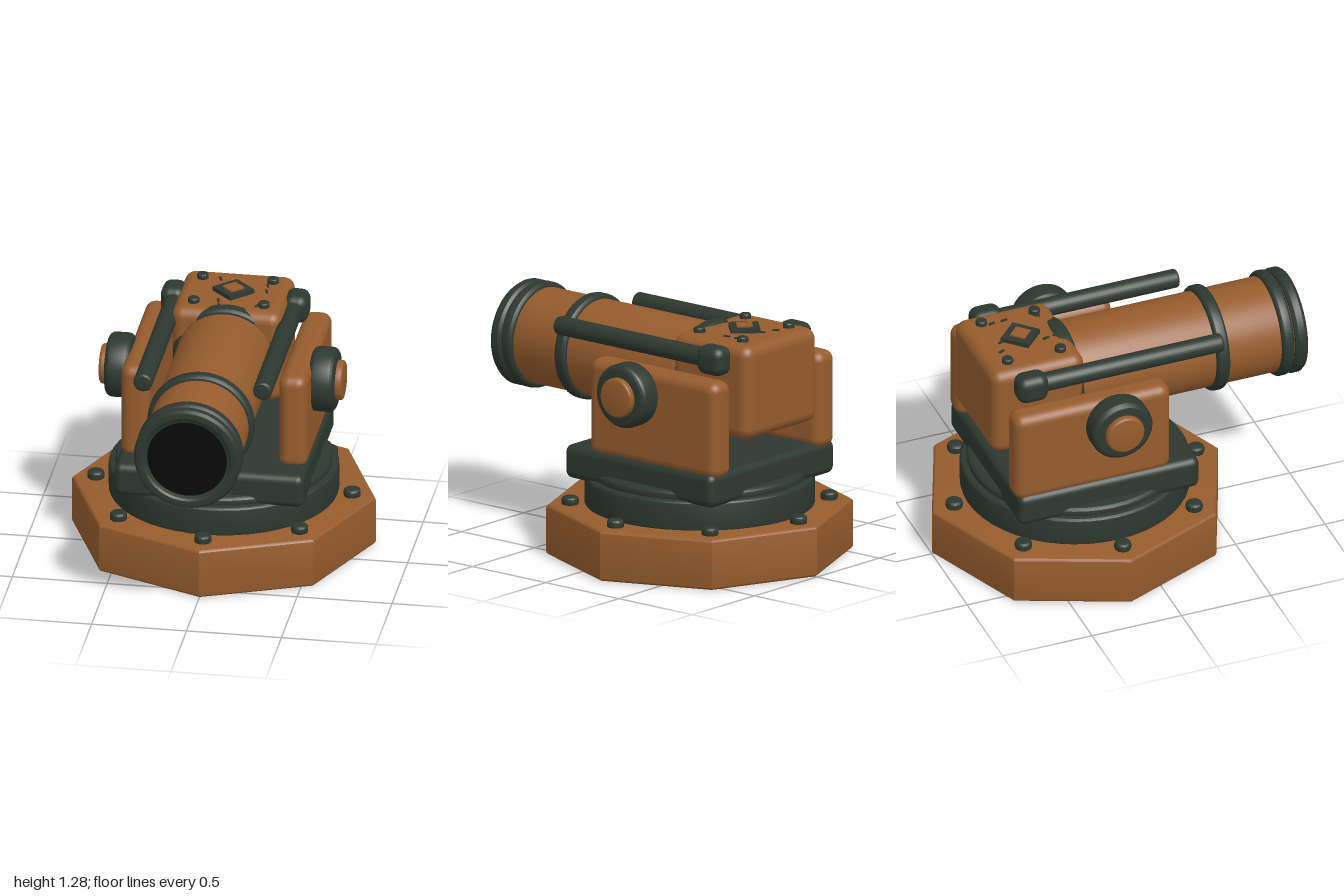
import * as THREE from 'three';
import { toCreasedNormals } from 'three/addons/utils/BufferGeometryUtils.js';
import { RoundedBoxGeometry } from 'three/addons/geometries/RoundedBoxGeometry.js';

function material(name, color) {
  const m = new THREE.MeshStandardMaterial({ color });
  m.name = name;
  return m;
}

// Revolved profile with crisp caps; points run [radius, height] upwards.
function lathe(points, sides = 48) {
  const profile = points.map(([r, y]) => new THREE.Vector2(r, y));
  return toCreasedNormals(new THREE.LatheGeometry(profile, sides), 0.3);
}

// Upright disc from y0 to y1 with rounded rims.
function disc(radius, y0, y1, bevel, sides = 48) {
  const points = [[0, y0]];
  const steps = 4;
  for (let i = 0; i <= steps; i++) {
    const a = (i / steps) * Math.PI / 2;
    points.push([radius - bevel + bevel * Math.sin(a), y0 + bevel - bevel * Math.cos(a)]);
  }
  for (let i = 0; i <= steps; i++) {
    const a = (i / steps) * Math.PI / 2;
    points.push([radius - bevel + bevel * Math.cos(a), y1 - bevel + bevel * Math.sin(a)]);
  }
  points.push([0, y1]);
  return lathe(points, sides);
}

export function createModel() {
  const model = new THREE.Group();
  model.name = 'cannonTurret';
  const copper = material('copper', 0x965c2d);
  const iron = material('darkIron', 0x2d3830);
  const black = material('boreBlack', 0x0a0a0a);

  function add(name, geometry, mat, x = 0, y = 0, z = 0) {
    const mesh = new THREE.Mesh(geometry, mat);
    mesh.name = name;
    mesh.position.set(x, y, z);
    model.add(mesh);
    return mesh;
  }
  const box = (w, h, d, r, seg = 3) => new RoundedBoxGeometry(w, h, d, seg, r);

  // Octagonal plinth, its bolts and the turntable
  const cz = -0.2;
  add('plinth', disc(0.8, 0, 0.27, 0.02, 8), copper, 0, 0, cz);
  for (let i = 0; i < 8; i++) {
    const a = (i * Math.PI) / 4;
    add('plinthBolt', disc(0.045, 0.26, 0.312, 0.018, 16), iron,
      0.675 * Math.sin(a), 0, cz + 0.675 * Math.cos(a));
  }
  add('turntableLower', disc(0.6, 0.26, 0.425, 0.02), iron, 0, 0, cz);
  add('turntableUpper', disc(0.565, 0.41, 0.468, 0.025), iron, 0, 0, cz);

  // Yoke carrying the barrel
  add('yokeBase', box(1.0, 0.18, 1.01, 0.04), iron, 0, 0.5, -0.2);
  for (const s of [-1, 1]) {
    add('yokeArm', box(0.15, 0.52, 0.87, 0.055), copper, s * 0.415, 0.82, -0.285);
    const turn = -s * Math.PI / 2;
    add('pivotCap', disc(0.17, 0.47, 0.605, 0.035).rotateZ(turn), iron, 0, 0.945, -0.165);
    add('pivotHub', disc(0.105, 0.59, 0.64, 0.015).rotateZ(turn), copper, 0, 0.945, -0.165);
  }

  // Breech block
  add('breech', box(0.58, 0.505, 0.52, 0.06), copper, 0, 0.9925, -0.51);

  // Barrel with its bands
  const by = 0.98;
  const along = Math.PI / 2;
  add('barrel', disc(0.255, -0.4, 0.96, 0.005, 64).rotateX(along), copper, 0, by);
  for (const [z0, z1] of [[-0.335, -0.25], [0.49, 0.565], [0.855, 0.925]]) {
    add('barrelBand', disc(0.281, z0, z1, 0.025, 64).rotateX(along), iron, 0, by);
  }

  // Muzzle lip and dark bore
  const lip = [[0.25, 0.928], [0.268, 0.93], [0.28, 0.945], [0.28, 0.98], [0.268, 0.997],
    [0.25, 1.0], [0.235, 0.998], [0.225, 0.99], [0.21, 0.985], [0.208, 0.96]];
  add('muzzleLip', lathe(lip, 64).rotateX(along), iron, 0, by);
  add('bore', new THREE.CircleGeometry(0.212, 64), black, 0, by, 0.982);

  // Recoil rods and their brackets
  for (const s of [-1, 1]) {
    add('recoilRod', disc(0.05, -0.55, 0.495, 0.015, 24).rotateX(along), iron, s * 0.315, 1.162, 0);
    add('rodBracket', box(0.13, 0.155, 0.17, 0.05), iron, s * 0.323, 1.16, -0.573);
  }

  // Breech top: corner bolts, diamond badge and score marks
  for (const x of [-0.185, 0.185]) {
    for (const z of [-0.65, -0.355]) {
      add('breechBolt', disc(0.03, 1.235, 1.272, 0.01, 16), iron, x, 0, z);
    }
  }
  const diamond = (half, h) => new THREE.BoxGeometry(half * Math.SQRT2, h, half * Math.SQRT2).rotateY(Math.PI / 4);
  add('badgePlate', diamond(0.11, 0.024), iron, 0, 1.256, -0.505);
  add('badgeCentre', diamond(0.058, 0.008), copper, 0, 1.272, -0.505);
  const marks = [[-0.09, -0.645, 0.4], [-0.01, -0.615, 0.4], [0.165, -0.6, 0.25], [0.17, -0.53, 0.25],
    [-0.06, -0.385, 0.25], [-0.048, -0.325, 0.25], [0.15, -0.355, -0.5], [0.18, -0.37, 0.1]];
  for (const [x, z, turn] of marks) {
    add('scoreMark', new THREE.BoxGeometry(0.012, 0.009, 0.035), iron, x, 1.248, z).rotation.y = turn;
  }

  return model;
}
